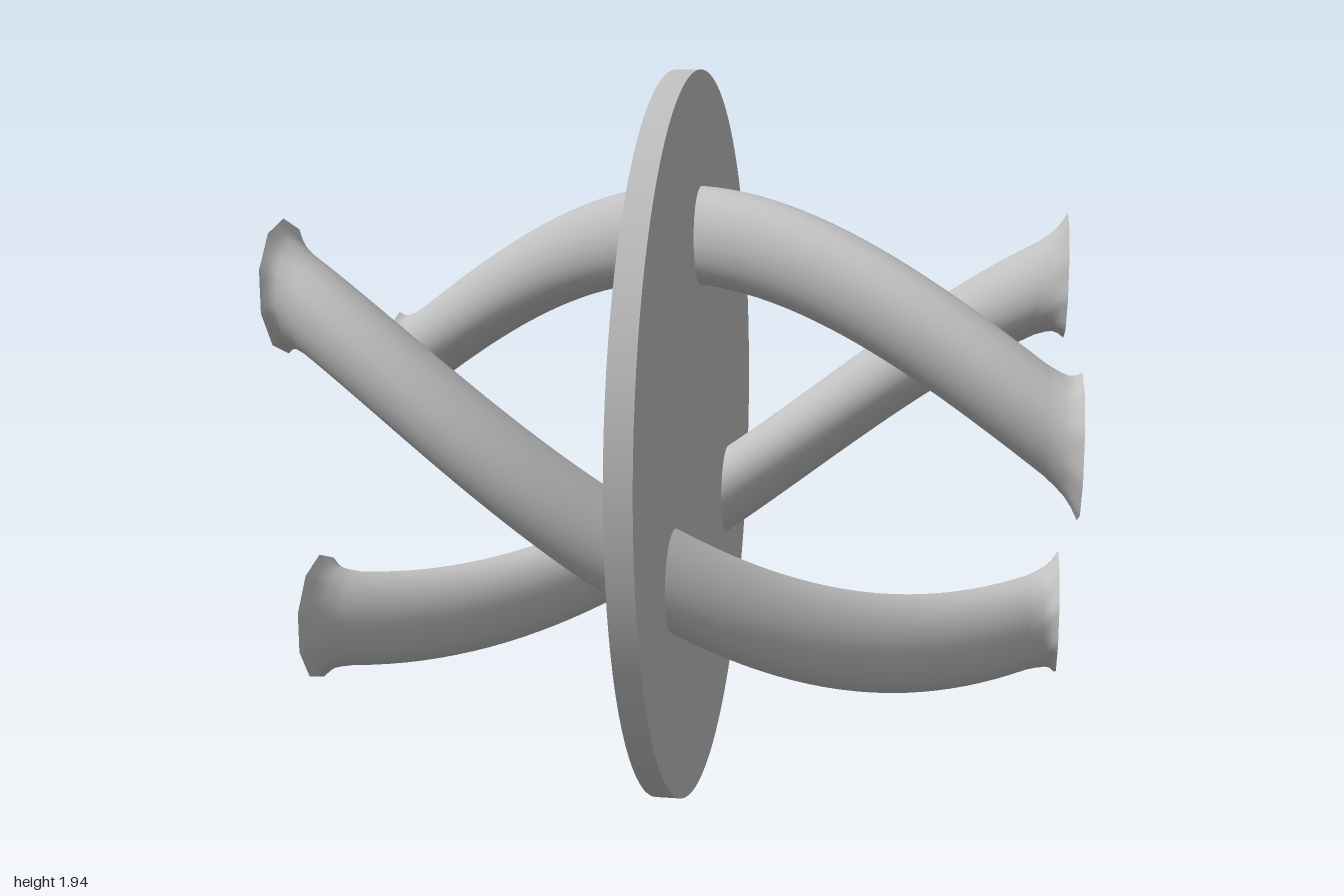
import * as THREE from 'three';

const CENTRE_Y = 0.97;
const HELIX_RADIUS = 0.54;
const TWIST = THREE.MathUtils.degToRad(80.5); // turn per unit of x
const SIDES = 40;
const RIM_SIDES = 10;

// Tube radius along x: constant, then a short flare at each mouth
const FLARE = [[0, 0.13], [0.92, 0.13], [0.95, 0.135], [0.97, 0.143], [0.985, 0.155], [1, 0.174]];
function tubeRadius(x) {
  const d = Math.abs(x);
  for (let i = 1; i < FLARE.length; i++) {
    const [x0, r0] = FLARE[i - 1], [x1, r1] = FLARE[i];
    if (d <= x1) return r0 + (r1 - r0) * (d - x0) / (x1 - x0);
  }
  return 0.174;
}

// Circular section swept along x while it turns about the axis of the disc
function twistedTube(startAngle) {
  const half = [];
  for (let i = 1; i <= 23; i++) half.push(i * 0.04);
  half.push(0.935, 0.95, 0.96, 0.97, 0.985, 1);
  const stations = [...half.map((x) => -x).reverse(), 0, ...half];
  const positions = [], index = [];
  const step = (2 * Math.PI) / RIM_SIDES;
  stations.forEach((x, i) => {
    const a = startAngle + TWIST * x;
    const r = tubeRadius(x);
    const blend = THREE.MathUtils.smoothstep(Math.abs(x), 0.95, 1);
    for (let j = 0; j < SIDES; j++) {
      const t = (j / SIDES) * 2 * Math.PI;
      // the round section becomes a ten-sided rim at the mouth
      const facet = Math.cos(step / 2) / Math.cos((t % step) - step / 2);
      const q = r * (1 + (facet - 1) * blend);
      positions.push(
        x,
        CENTRE_Y + HELIX_RADIUS * Math.cos(a) + q * Math.cos(t),
        HELIX_RADIUS * Math.sin(a) + q * Math.sin(t)
      );
      if (i < stations.length - 1) {
        const p = i * SIDES + j, n = i * SIDES + (j + 1) % SIDES;
        index.push(p, n, p + SIDES, n, n + SIDES, p + SIDES);
      }
    }
  });
  const geometry = new THREE.BufferGeometry();
  geometry.setAttribute('position', new THREE.Float32BufferAttribute(positions, 3));
  geometry.setIndex(index);
  geometry.computeVertexNormals();
  return geometry;
}

export function createModel() {
  const model = new THREE.Group();
  model.name = 'discWithTwistedTubes';
  const grey = new THREE.MeshStandardMaterial({ color: 0xc0c0c0, side: THREE.DoubleSide });
  grey.name = 'grey';

  // Upright disc facing along x
  const disc = new THREE.Mesh(new THREE.CylinderGeometry(0.97, 0.97, 0.066, 100), grey);
  disc.name = 'disc';
  disc.rotation.z = Math.PI / 2;
  disc.position.y = CENTRE_Y;
  model.add(disc);

  // Three open tubes, a third of a turn apart
  for (let i = 0; i < 3; i++) {
    const tube = new THREE.Mesh(twistedTube((i * 2 * Math.PI) / 3), grey);
    tube.name = `twistedTube${i + 1}`;
    model.add(tube);
  }
  return model;
}
